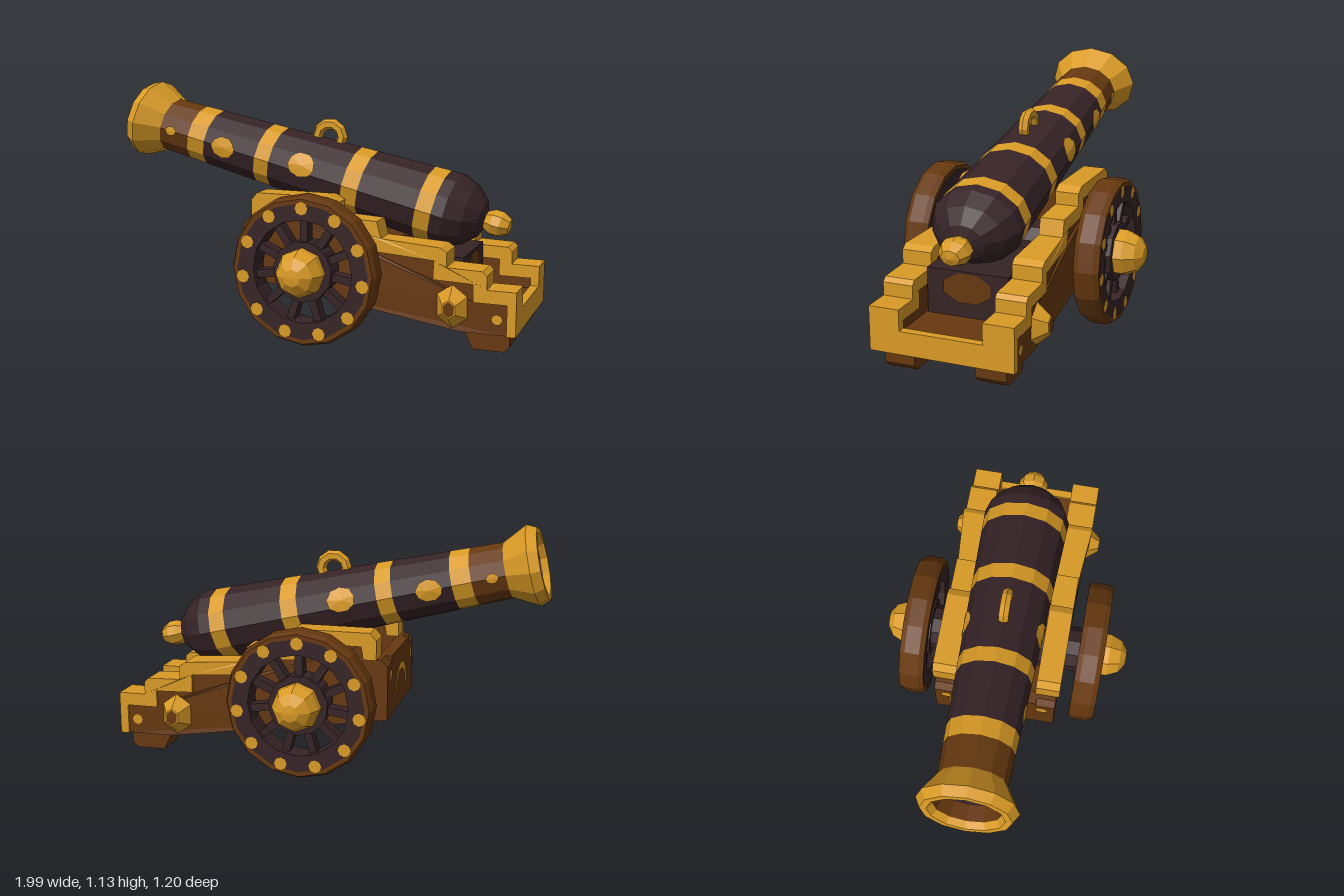
import * as THREE from 'three';

const mat = (name, color) => {
  const m = new THREE.MeshStandardMaterial({ color });
  m.name = name;
  return m;
};

export function createModel() {
  const gold = mat('gold', 0xd99a25);
  const brown = mat('brown wood', 0x66380f);
  const dark = mat('dark iron', 0x362326);
  const model = new THREE.Group();
  model.name = 'cannon';

  // Adds a faceted mesh to a parent
  const add = (parent, name, geo, material, x = 0, y = 0, z = 0) => {
    const g = geo.index ? geo.toNonIndexed() : geo;
    g.computeVertexNormals();
    const mesh = new THREE.Mesh(g, material);
    mesh.name = name;
    mesh.position.set(x, y, z);
    parent.add(mesh);
    return mesh;
  };
  const lathe = (pts, n) => new THREE.LatheGeometry(pts.map(p => new THREE.Vector2(...p)), n);
  const extrude = (pts, depth) => new THREE.ExtrudeGeometry(
    new THREE.Shape(pts.map(p => new THREE.Vector2(...p))), { depth, bevelEnabled: false });

  // Barrel: local +y runs from muzzle to breech
  const barrel = new THREE.Group();
  barrel.name = 'barrel';
  barrel.position.set(-0.955, 0.953, 0);
  barrel.rotation.z = -THREE.MathUtils.degToRad(103.3);
  barrel.scale.x = 0.84;
  model.add(barrel);
  const radius = s => 0.155 + (s - 0.16) * 0.0377;
  add(barrel, 'bore', lathe([[0, 0.4], [0.125, 0.4], [0.135, 0.1]], 12), dark);
  add(barrel, 'boreEdge', lathe([[0.135, 0.1], [0.15, 0.03]], 12), brown);
  add(barrel, 'muzzleLip', lathe([[0.15, 0.03], [0.17, 0], [0.2, 0], [0.225, 0.045], [0.155, 0.16]], 12), gold);
  const bands = [[0.16, 0.315, brown], [0.315, 0.405, gold], [0.405, 0.68, dark], [0.68, 0.755, gold],
    [0.755, 1.135, dark], [1.135, 1.215, gold], [1.215, 1.5, dark], [1.5, 1.575, gold], [1.575, 1.63, dark]];
  for (const [a, b, m] of bands)
    add(barrel, m === gold ? 'barrelRing' : 'barrelSection', lathe([[radius(a), a], [radius(b), b]], 12), m);
  add(barrel, 'breech', lathe([[radius(1.63), 1.63], [0.17, 1.71], [0.1, 1.77], [0.04, 1.79], [0.035, 1.81]], 12), dark);
  add(barrel, 'breechKnob', lathe([[0, 1.765], [0.045, 1.78], [0.072, 1.82], [0.072, 1.86], [0.045, 1.9], [0, 1.91]], 8), gold);

  // Round ornaments curved over both flanks of the barrel
  for (const side of [1, -1])
    for (const [s, r, drop] of [[0.22, 0.028, 0], [0.51, 0.062, 0], [0.92, 0.068, -0.04]]) {
      const g = new THREE.CircleGeometry(r, 9);
      g.translate(side * drop, s, 0);
      const p = g.attributes.position;
      for (let i = 0; i < p.count; i++) {
        const R = radius(p.getY(i));
        p.setZ(i, Math.sqrt(R * R - p.getX(i) ** 2) + 0.005);
      }
      if (side < 0) g.rotateY(Math.PI);
      add(barrel, 'barrelOrnament', g, gold);
    }

  // Lifting ring
  add(model, 'liftingRing', new THREE.TorusGeometry(0.062, 0.026, 6, 10), gold, 0.025, 0.89, 0);

  // Carriage cheeks: stepped gold trim over a brown body
  const carriage = new THREE.Group();
  carriage.name = 'carriage';
  model.add(carriage);
  const outer = [[-0.25, 0.53], [-0.25, 0.62], [-0.22, 0.655], [0.13, 0.655], [0.17, 0.63], [0.17, 0.57],
    [0.36, 0.56], [0.38, 0.485], [0.66, 0.47], [0.69, 0.45], [0.69, 0.385], [0.85, 0.38], [0.87, 0.36],
    [0.87, 0.3], [1, 0.3], [1, 0.1]];
  const inner = [[0.96, 0.1], [0.96, 0.24], [0.81, 0.24], [0.81, 0.32], [0.63, 0.325], [0.63, 0.41],
    [0.32, 0.425], [0.3, 0.5], [0.11, 0.51], [0.1, 0.59], [-0.18, 0.59], [-0.19, 0.53]];
  const body = [[-0.3, 0.25], [0.75, 0.1], ...inner, [-0.27, 0.53], [-0.3, 0.5]];
  // The outer face flares outward toward the tail
  const cheek = (pts, z0, z1, side) => {
    const g = extrude(pts, z1 - z0);
    g.translate(0, 0, side > 0 ? z0 : -z1);
    const p = g.attributes.position;
    for (let i = 0; i < p.count; i++)
      if (Math.abs(p.getZ(i)) > 0.25)
        p.setZ(i, p.getZ(i) + side * 0.027 * THREE.MathUtils.clamp((p.getX(i) - 0.36) / 0.3, 0, 1));
    return g;
  };
  for (const side of [1, -1]) {
    add(carriage, 'cheek', cheek(body, 0.2, 0.29, side), brown);
    add(carriage, 'cheekTrim', cheek([...outer, ...inner], 0.19, 0.303, side), gold);
    add(carriage, 'foot', extrude([[0.76, 0.1], [0.8, 0.015], [0.94, 0.015], [0.965, 0.04], [0.965, 0.1]], 0.14),
      brown, 0, 0, side > 0 ? 0.14 : -0.28);

    // Side medallion and stud
    const badge = new THREE.Group();
    badge.name = 'sideMedallion';
    badge.position.set(0.715, 0.21, side * 0.345);
    if (side < 0) badge.rotation.y = Math.PI;
    carriage.add(badge);
    add(badge, 'medallionRim', new THREE.CylinderGeometry(0.034, 0.08, 0.065, 6).rotateX(Math.PI / 2).scale(1, 1.25, 1), gold);
    add(badge, 'medallionCentre', new THREE.CircleGeometry(0.028, 6, Math.PI / 2).scale(1, 1.3, 1), brown, 0, 0, 0.036);
    add(badge, 'stud', new THREE.CircleGeometry(0.025, 8), gold, side * 0.2, -0.04, -0.022);
    add(carriage, 'frontStud', new THREE.CircleGeometry(0.03, 8).rotateY(-Math.PI / 2), gold, -0.304, 0.45, side * 0.23);
  }

  // Floor, front board, tail beam and breech rest
  add(carriage, 'floor', extrude([[-0.3, 0.25], [0.75, 0.1], [0.97, 0.1], [0.97, 0.19], [0.75, 0.19], [-0.28, 0.3]], 0.4),
    brown, 0, 0, -0.2);
  add(carriage, 'frontBoard', new THREE.BoxGeometry(0.06, 0.28, 0.4), brown, -0.27, 0.39, 0);
  add(carriage, 'frontArch', new THREE.RingGeometry(0.1, 0.135, 12, 1, 0, Math.PI).rotateY(-Math.PI / 2), gold, -0.304, 0.32, 0);
  add(carriage, 'tailBeam', new THREE.BoxGeometry(0.04, 0.105, 0.65), gold, 0.98, 0.1525, 0);
  add(carriage, 'breechRest', new THREE.BoxGeometry(0.4, 0.24, 0.38), dark, 0.53, 0.28, 0);
  add(carriage, 'breechRestPlate', new THREE.CircleGeometry(0.12, 8, Math.PI / 8).scale(1, 0.6, 1).rotateY(Math.PI / 2),
    brown, 0.735, 0.325, 0);

  // Axle
  add(model, 'axle', new THREE.CylinderGeometry(0.11, 0.11, 0.8, 10).rotateX(Math.PI / 2), dark, 0.07, 0.343, 0);

  // Wheels
  const SPOKES = 11;
  const ring = (pts, n) => lathe(pts, n).rotateX(Math.PI / 2);
  for (const side of [1, -1]) {
    const wheel = new THREE.Group();
    wheel.name = side > 0 ? 'frontWheel' : 'backWheel';
    wheel.position.set(0.07, 0.343, side * 0.42);
    if (side < 0) wheel.rotation.y = Math.PI;
    model.add(wheel);
    add(wheel, 'tyre', ring([[0.31, -0.06], [0.33, -0.06], [0.343, -0.035], [0.343, 0.035], [0.33, 0.06], [0.31, 0.06]], 16), brown);
    add(wheel, 'rim', ring([[0.313, 0.056], [0.235, 0.056], [0.235, -0.056], [0.313, -0.056]], 16), dark);
    add(wheel, 'hub', new THREE.CylinderGeometry(0.14, 0.14, 0.1, 11).rotateX(Math.PI / 2), dark);
    add(wheel, 'hubCap', ring([[0.11, 0.04], [0.11, 0.09], [0.085, 0.145], [0.04, 0.175], [0, 0.18]], 8), gold);
    for (let i = 0; i < SPOKES; i++) {
      const a = Math.PI / 2 + i * 2 * Math.PI / SPOKES;
      const c = Math.cos(a), s = Math.sin(a);
      add(wheel, 'spoke', new THREE.BoxGeometry(0.14, 0.036, 0.06), dark, 0.19 * c, 0.19 * s, 0).rotation.z = a;
      add(wheel, 'rimStud', new THREE.CircleGeometry(0.03, 8), gold, 0.287 * c, 0.287 * s, 0.061);
    }
  }
  return model;
}
